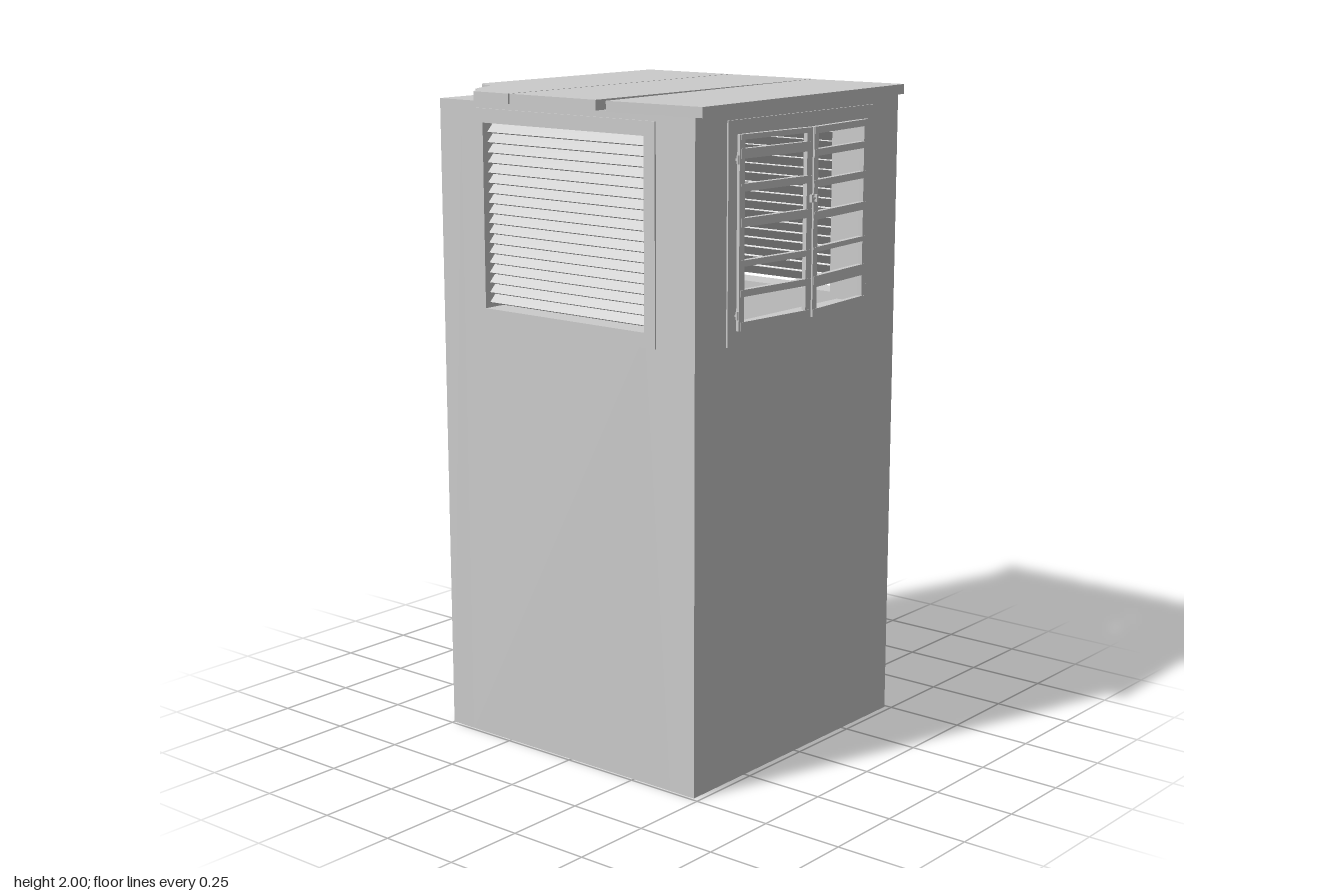
import * as THREE from 'three';

const mat = new THREE.MeshStandardMaterial({ color: 0xcccccc, flatShading: true, side: THREE.DoubleSide });
const H = 1.97, R = 0.49, T = 0.088;       // wall height, half width, thickness
const W0 = 1.355, W1 = 1.908, WX = 0.31;   // window bottom, top, half width

function add(parent, name, geo, x = 0, y = 0, z = 0) {
  const m = new THREE.Mesh(geo, mat);
  m.name = name;
  m.position.set(x, y, z);
  parent.add(m);
  return m;
}
const box = (w, h, d) => new THREE.BoxGeometry(w, h, d);

// Rectangular panel with the window cut out of it
function panel(x, y0, y1, depth) {
  const rect = (C, hx, a, b) => new C([[-hx, a], [hx, a], [hx, b], [-hx, b]].map(p => new THREE.Vector2(...p)));
  const s = rect(THREE.Shape, x, y0, y1);
  s.holes.push(rect(THREE.Path, WX, W0, W1));
  return new THREE.ExtrudeGeometry(s, { depth, bevelEnabled: false });
}

export function createModel() {
  const model = new THREE.Group();
  model.name = 'ventilationShaft';

  // Hollow square shaft: four walls, each with a window and raised trim
  const shaft = new THREE.Group();
  shaft.name = 'shaft';
  shaft.position.z = -0.01;
  model.add(shaft);
  ['front', 'left', 'back', 'right'].forEach((side, i) => {
    const g = new THREE.Group();
    g.name = side + 'Side';
    g.rotation.y = i * Math.PI / 2;
    shaft.add(g);
    add(g, 'wall', panel(i % 2 ? R - T : R, 0, H, T), 0, 0, R - T);
    add(g, 'windowTrim', panel(0.35, 1.312, 1.95, 0.006), 0, 0, R - 0.001);
    if (side === 'front') return;
    // Louvre slats sloping down towards the outside
    const n = 18, pitch = (W1 - W0 - 0.015) / n;
    for (let k = 0; k < n; k++) {
      const slat = add(g, 'louvreSlat', box(WX * 2, 0.004, 0.042), 0, W1 - pitch * (k + 0.5), R - 0.03);
      slat.rotation.x = 0.8;
    }
  });

  // Pair of barred shutters, slightly ajar, with uneven rails
  const rails = {
    '-1': [[1.895, 1.91], [1.842, 1.87], [1.75, 1.772], [1.65, 1.675], [1.538, 1.556], [1.452, 1.472], [1.355, 1.38]],
    '1': [[1.89, 1.91], [1.825, 1.845], [1.735, 1.756], [1.64, 1.664], [1.545, 1.56], [1.442, 1.475], [1.355, 1.378]]
  };
  for (const s of [-1, 1]) {
    const leaf = new THREE.Group();
    leaf.name = s > 0 ? 'leftShutter' : 'rightShutter';
    leaf.position.set(s * 0.31, 0, 0.488);
    leaf.rotation.y = s * 0.085;
    model.add(leaf);
    const mid = (1.355 + 1.91) / 2;
    add(leaf, 'outerStile', box(0.022, 0.555, 0.014), -s * 0.01, mid, 0);
    add(leaf, 'innerStile', box(0.024, 0.555, 0.014), -s * 0.296, mid, 0);
    for (const [a, b] of rails[s]) add(leaf, 'rail', box(0.3, b - a, 0.017), -s * 0.156, (a + b) / 2, 0);
    for (const y of [1.4, 1.84]) {
      add(leaf, 'hingePin', new THREE.CylinderGeometry(0.004, 0.004, 0.024, 8), s * 0.005, y, 0.004);
      add(leaf, 'hingePlate', box(0.012, 0.006, 0.006), s * 0.003, y, 0);
    }
    add(leaf, 'latchKnob', box(0.008, 0.022, 0.014), -s * 0.3, 1.705, 0.009);
  }
  const bolt = add(model, 'latchBolt', new THREE.CylinderGeometry(0.004, 0.004, 0.03, 8), 0, 1.705, 0.522);
  bolt.rotation.z = Math.PI / 2;

  // Roof boards: broken back, plain middle, skewed front
  const roof = new THREE.Group();
  roof.name = 'roof';
  model.add(roof);
  const outline = [[0.515, -0.53], [0.515, -0.195], [-0.515, -0.195], [-0.515, -0.335], [-0.485, -0.355],
    [-0.46, -0.375], [-0.44, -0.4], [-0.4, -0.42], [-0.345, -0.438], [-0.32, -0.455], [-0.315, -0.49], [-0.3, -0.51], [-0.28, -0.53]];
  const shape = new THREE.Shape(outline.map(([x, z]) => new THREE.Vector2(x, -z)));
  const broken = new THREE.ExtrudeGeometry(shape, { depth: 0.03, bevelEnabled: false }).rotateX(-Math.PI / 2);
  add(roof, 'brokenBackBoard', broken, 0, H, 0);
  add(roof, 'middleBoard', box(1.03, 0.03, 0.332), 0, H + 0.015, -0.024);
  add(roof, 'skewedFrontBoard', box(1.03, 0.03, 0.335), 0, H + 0.015, 0.3325).rotation.y = 0.039;

  return model;
}
